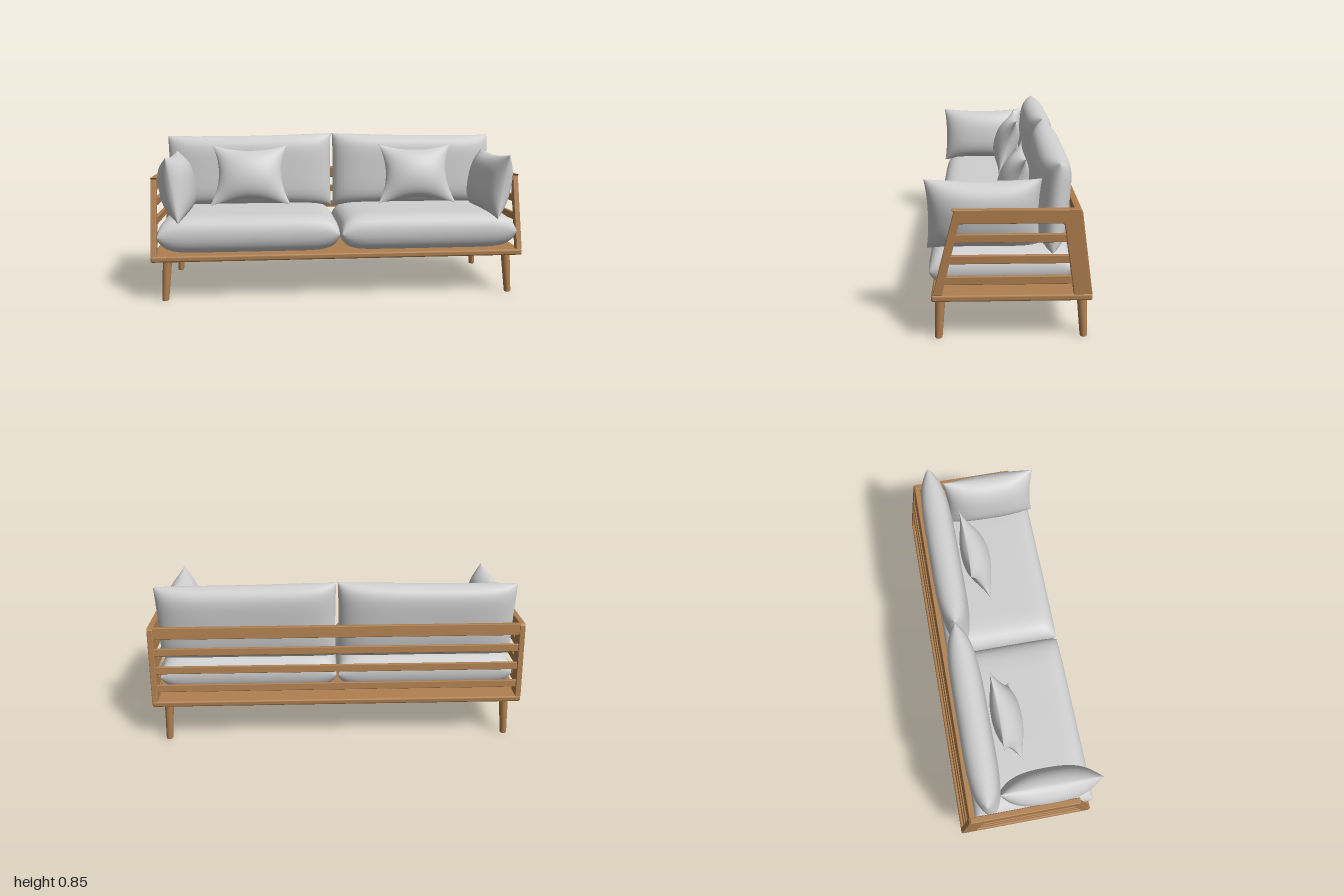
import * as THREE from 'three';
import { mergeGeometries, mergeVertices } from 'three/addons/utils/BufferGeometryUtils.js';
import { RoundedBoxGeometry } from 'three/addons/geometries/RoundedBoxGeometry.js';

const wood = new THREE.MeshStandardMaterial({ color: 0xb08050 });
wood.name = 'oak wood';
const fabric = new THREE.MeshStandardMaterial({ color: 0xd0d0d0 });
fabric.name = 'grey fabric';

function add(parent, name, geometry, material, x = 0, y = 0, z = 0) {
  const mesh = new THREE.Mesh(geometry, material);
  mesh.name = name;
  mesh.position.set(x, y, z);
  parent.add(mesh);
  return mesh;
}

// Stuffed cushion of size w x h x t facing z. pinchX / pinchY pull the edges in
// between the corners, power sets how boxy the filling is, swell its edge roundness.
function cushion(w, h, t, { pinchX = 0, pinchY = 0, power = 2, swell = 0.5, round = 0 } = {}) {
  const halves = [1, -1].map((side) => {
    const g = new THREE.PlaneGeometry(2, 2, 28, 28);
    g.deleteAttribute('normal');
    g.deleteAttribute('uv');
    const p = g.attributes.position;
    for (let i = 0; i < p.count; i++) {
      const u = Math.sin(p.getX(i) * Math.PI / 2);
      const v = Math.sin(p.getY(i) * Math.PI / 2);
      const fill = Math.max(0, (1 - Math.abs(u) ** power) * (1 - Math.abs(v) ** power)) ** swell;
      const x = u * w / 2 * (1 - pinchX * (1 - v * v) * u * u - round * v ** 8);
      const y = v * h / 2 * (1 - pinchY * (1 - u * u) * v * v - round * u ** 8);
      p.setXYZ(i, side * x, y, side * fill * t / 2);
    }
    return g;
  });
  const g = mergeVertices(mergeGeometries(halves), 1e-5);
  g.computeVertexNormals();
  return g;
}

// Sloping front and back outlines of the arm frames
const frontZ = (y) => 0.345 - (y - 0.24) * 0.247;
const backZ = (y) => -0.378 + (y - 0.24) * 0.143;
const slatHeights = [0.31, 0.41, 0.51];

// Three-sided trapezoid frame in the z-y plane, extruded along x
function armFrameGeometry() {
  const b = 0.004;
  const outline = [
    [0.345, 0.24], [0.302, 0.24], [0.222, 0.572], [0.214, 0.58], [-0.236, 0.58], [-0.245, 0.572],
    [-0.294, 0.24], [-0.378, 0.24], [-0.322, 0.635], [-0.312, 0.645], [0.252, 0.645], [0.242, 0.635],
  ];
  const shape = new THREE.Shape(outline.map(([z, y]) => new THREE.Vector2(-z, y)));
  const g = new THREE.ExtrudeGeometry(shape, {
    depth: 0.03 - 2 * b, bevelEnabled: true, bevelThickness: b, bevelSize: b, bevelOffset: -b, bevelSegments: 2,
  });
  g.translate(0, 0, b - 0.015);
  g.rotateY(Math.PI / 2);
  return g;
}

function addSide(sofa, s) {
  const label = s > 0 ? 'left' : 'right';
  const arm = new THREE.Group();
  arm.name = label + 'Arm';
  sofa.add(arm);
  add(arm, 'armFrame', armFrameGeometry(), wood, s * 0.985, 0, 0);
  for (const y of slatHeights) {
    const z0 = backZ(y) + 0.04, z1 = frontZ(y) - 0.02;
    add(arm, 'armSlat', new RoundedBoxGeometry(0.018, 0.04, z1 - z0, 2, 0.004), wood, s * 0.985, y, (z0 + z1) / 2);
  }

  // Tapered, slightly splayed legs
  for (const [name, top, foot] of [['FrontLeg', 0.313, 0.326], ['BackLeg', -0.34, -0.353]]) {
    const profile = [[0, 0], [0.015, 0], [0.018, 0.004], [0.024, 0.205], [0.024, 0.215], [0, 0.215]];
    const g = new THREE.LatheGeometry(profile.map(([r, y]) => new THREE.Vector2(r, y)), 20);
    const p = g.attributes.position;
    for (let i = 0; i < p.count; i++) {
      const k = p.getY(i) / 0.215;
      p.setX(i, p.getX(i) + s * (0.932 - 0.015 * k));
      p.setZ(i, p.getZ(i) + foot + (top - foot) * k);
    }
    g.computeVertexNormals();
    add(sofa, label + name, g, wood);
  }

  // Seat cushion, lying flat
  const seat = cushion(0.966, 0.66, 0.2, { power: 10, swell: 0.5, round: 0.012 });
  seat.rotateX(-Math.PI / 2);
  add(sofa, label + 'SeatCushion', seat, fabric, s * 0.484, 0.343, 0.034);

  // Back cushion, leaning slightly back and rising towards the middle of the sofa
  const back = cushion(0.96, 0.425, 0.165, { power: 5, swell: 0.5, pinchY: 0.035, pinchX: 0.01 });
  const p = back.attributes.position;
  for (let i = 0; i < p.count; i++) {
    if (p.getY(i) > 0) p.setY(i, p.getY(i) * (1 - s * p.getX(i) * 0.07));
  }
  back.computeVertexNormals();
  add(sofa, label + 'BackCushion', back, fabric, s * 0.484, 0.635, -0.21).rotation.x = -0.06;

  // Arm cushion, leaning outwards against the arm
  const side = cushion(0.525, 0.35, 0.185, { power: 2.6, swell: 0.6, pinchX: 0.05, pinchY: 0.1 });
  side.rotateY(Math.PI / 2);
  add(sofa, label + 'ArmCushion', side, fabric, s * 0.876, 0.587, 0.113).rotation.z = -s * 0.16;

  // Throw pillow, leaning on the back cushion, a little narrower at the top
  const pillow = cushion(0.445, 0.355, 0.15, { power: 2, swell: 0.8, pinchX: 0.2, pinchY: 0.2 });
  const q = pillow.attributes.position;
  for (let i = 0; i < q.count; i++) q.setX(i, q.getX(i) * (1 - q.getY(i) * 0.18));
  pillow.computeVertexNormals();
  add(sofa, label + 'ThrowPillow', pillow, fabric, s * 0.483, 0.625, -0.035).rotation.x = -0.32;
}

export function createModel() {
  const sofa = new THREE.Group();
  sofa.name = 'sofa';

  add(sofa, 'basePlatform', new RoundedBoxGeometry(2, 0.032, 0.732, 3, 0.01), wood, 0, 0.225, -0.014);

  // Back rail and slats follow the slope of the rear posts
  const slope = Math.atan(0.143);
  const rails = [['backTopRail', 0.6125, 0.063, 0.03], ...slatHeights.map((y) => ['backSlat', y, 0.04, 0.018])];
  for (const [name, y, h, t] of rails) {
    const rail = add(sofa, name, new RoundedBoxGeometry(1.95, h, t, 2, 0.004), wood, 0, y, backZ(y) + 0.018);
    rail.rotation.x = slope;
  }

  addSide(sofa, 1);
  addSide(sofa, -1);
  return sofa;
}
